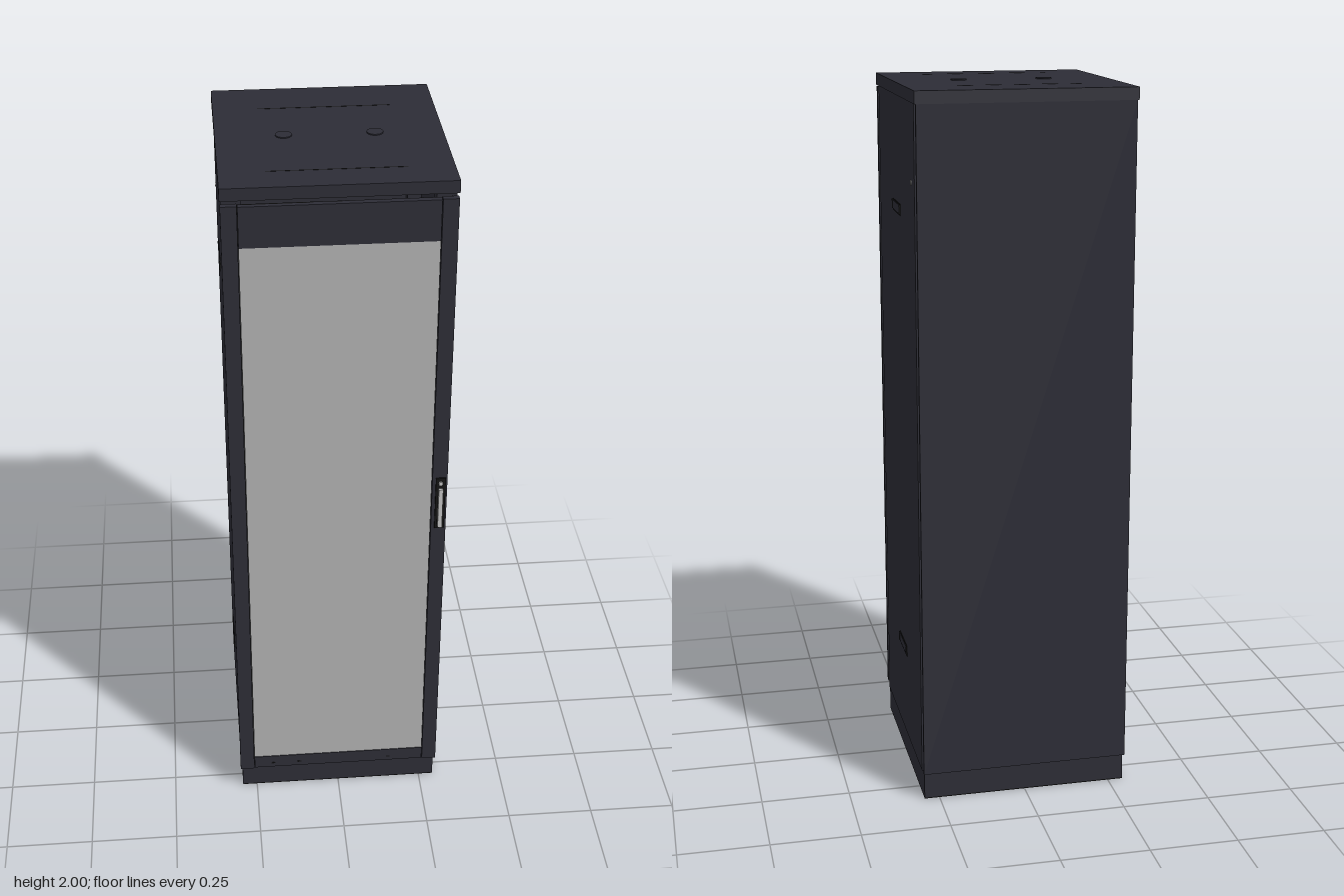
import * as THREE from 'three';

const mat = (name, color) => new THREE.MeshStandardMaterial({ name, color });

export function createModel() {
  const steel = mat('dark steel', 0x2d2d36);
  const black = mat('black', 0x151515);
  const glass = mat('grey glass', 0xb2b2b2);
  const metal = mat('light metal', 0xc4c4c4);

  const root = new THREE.Group();
  root.name = 'rackCabinet';

  // Box given by its extents on each axis
  const box = (name, m, [x0, x1], [y0, y1], [z0, z1], parent = root) => {
    const mesh = new THREE.Mesh(new THREE.BoxGeometry(x1 - x0, y1 - y0, z1 - z0), m);
    mesh.position.set((x0 + x1) / 2, (y0 + y1) / 2, (z0 + z1) / 2);
    mesh.name = name;
    parent.add(mesh);
    return mesh;
  };
  const cylinder = (name, m, r, h, pos, axis = 'y', parent = root) => {
    const mesh = new THREE.Mesh(new THREE.CylinderGeometry(r, r, h, 24), m);
    if (axis === 'x') mesh.rotation.z = Math.PI / 2;
    if (axis === 'z') mesh.rotation.x = Math.PI / 2;
    mesh.position.set(...pos);
    mesh.name = name;
    parent.add(mesh);
    return mesh;
  };

  // Plinth, floor and roof
  box('plinth', steel, [-0.293, 0.293], [0.003, 0.08], [-0.33, 0.297]);
  box('underside', black, [-0.293, 0.293], [0, 0.003], [-0.33, 0.297]);
  box('roof', steel, [-0.3, 0.3], [1.963, 1.997], [-0.342, 0.306]);
  for (const z of [-0.2, 0.21]) {
    box('roofSlot', black, [-0.18, 0.18], [1.9965, 1.9975], [z - 0.0015, z + 0.0015]);
  }
  for (const x of [-0.12, 0.12]) {
    cylinder('cableCover', steel, 0.022, 0.003, [x, 1.9985, -0.015]);
  }

  // Rear panel, standing clear of the frame
  box('rearPanel', steel, [-0.296, 0.296], [0.08, 1.963], [-0.341, -0.331]);
  box('innerRearWall', steel, [-0.255, 0.255], [0.08, 1.963], [-0.31, -0.3]);

  for (const s of [-1, 1]) {
    const span = (a, b) => (s > 0 ? [a, b] : [-b, -a]);

    // Side panel and corner posts
    box('sidePanel', steel, span(0.285, 0.297), [0.08, 1.963], [-0.313, 0.28]);
    box('frontPost', steel, span(0.245, 0.285), [0.08, 1.963], [0.24, 0.278]);
    box('rearPost', steel, span(0.245, 0.285), [0.08, 1.963], [-0.313, -0.27]);

    // Square mounting holes along the posts
    for (let i = 0; i < 36; i++) {
      const y = 0.14 + i * 0.05;
      box('postHole', black, span(0.262, 0.274), [y, y + 0.014], [-0.3145, -0.3125]);
      box('postHole', black, span(0.262, 0.274), [y, y + 0.014], [0.2775, 0.2795]);
    }

    // Recessed side grips: black outline around a steel centre
    for (const y of [1.655, 0.352]) {
      box('gripFrame', black, span(0.2965, 0.2985), [y - 0.017, y + 0.015], [-0.08, 0.045]);
      box('gripPlate', steel, span(0.297, 0.2995), [y - 0.013, y + 0.011], [-0.076, 0.041]);
      for (const z of [-0.08, 0.042]) {
        box('gripEnd', black, span(0.297, 0.301), [y - 0.013, y + 0.013], [z, z + 0.003]);
      }
    }
    cylinder('sideLock', metal, 0.007, 0.004, [s * 0.297, 1.753, -0.262], 'x');

    // Door hinge lugs
    for (const y of [1.83, 1.655]) {
      box('hingeLug', black, span(0.265, 0.285), [y - 0.013, y + 0.013], [0.278, 0.296]);
    }
  }

  // Front door: frame around a glass pane
  const door = new THREE.Group();
  door.name = 'frontDoor';
  root.add(door);
  const doorY = [0.09, 1.957];
  box('doorStileRight', steel, [-0.299, -0.2575], doorY, [0.307, 0.325], door);
  box('doorStileLeft', steel, [0.2545, 0.296], doorY, [0.307, 0.325], door);
  box('doorTopRail', steel, [-0.256, 0.253], [1.842, 1.955], [0.308, 0.324], door);
  box('doorBottomRail', steel, [-0.256, 0.253], [0.092, 0.134], [0.308, 0.324], door);
  box('doorBacking', black, [-0.258, 0.255], [0.092, 1.955], [0.307, 0.312], door);
  box('doorGlass', glass, [-0.256, 0.253], [0.134, 1.842], [0.312, 0.322], door);
  for (const x of [-0.2, -0.12, 0.15]) {
    box('doorScrew', black, [x - 0.006, x + 0.006], [0.105, 0.109], [0.3235, 0.3245], door);
  }

  // Swing handle on the left stile
  const handle = new THREE.Group();
  handle.name = 'doorHandle';
  door.add(handle);
  box('handlePlate', black, [0.264, 0.291], [0.96, 1.125], [0.324, 0.33], handle);
  box('handleLever', metal, [0.271, 0.283], [0.97, 1.095], [0.333, 0.342], handle);
  box('handlePivot', black, [0.27, 0.284], [0.975, 0.99], [0.33, 0.334], handle);
  box('handleNeck', black, [0.27, 0.284], [1.075, 1.09], [0.33, 0.334], handle);
  cylinder('handleLock', metal, 0.006, 0.006, [0.277, 1.11, 0.332], 'z', handle);

  return root;
}
